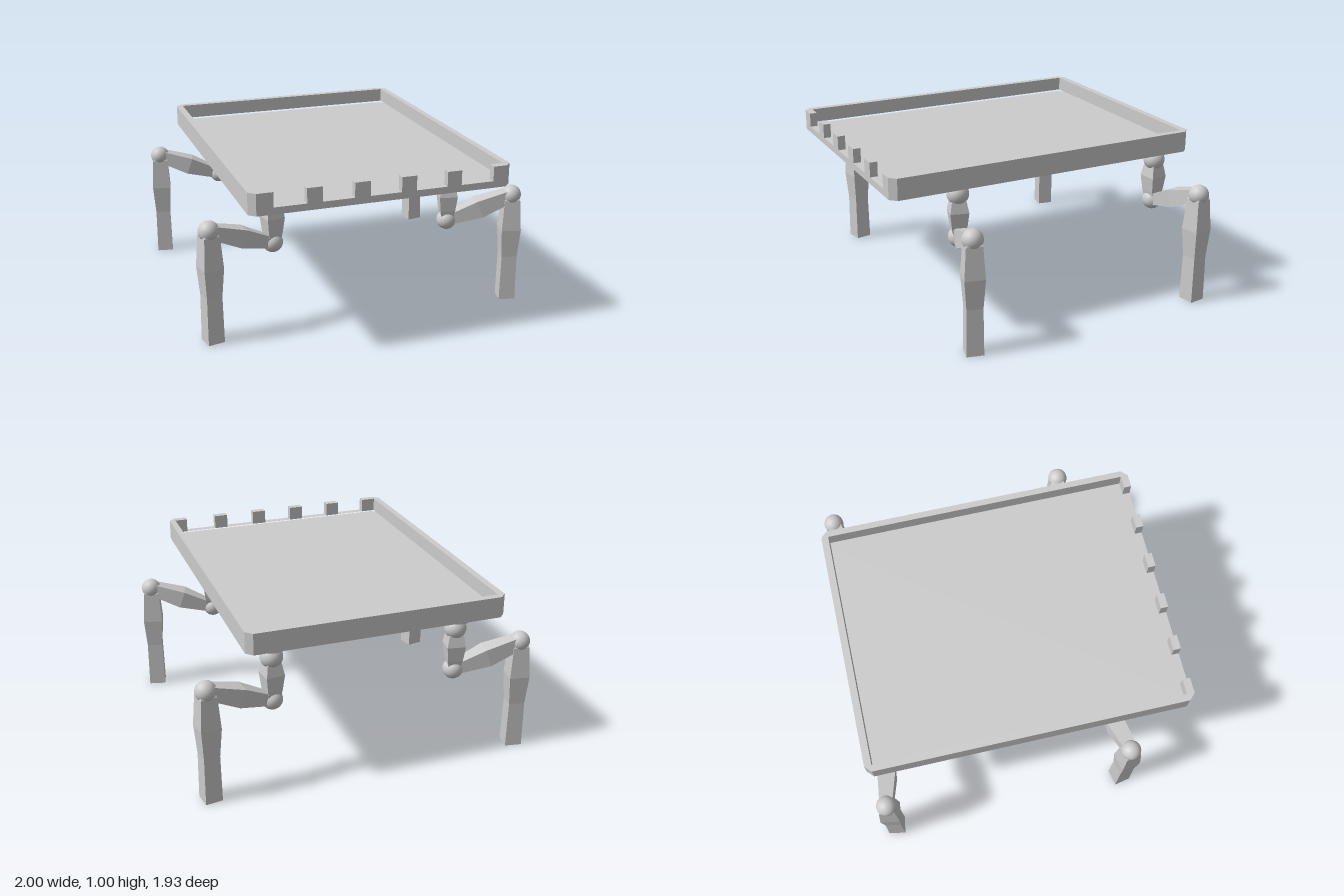
import * as THREE from 'three';

const flat = new THREE.MeshStandardMaterial({ color: 0xcccccc, flatShading: true });
const smooth = new THREE.MeshStandardMaterial({ color: 0xcccccc });

function add(parent, name, geometry, material = flat) {
  const mesh = new THREE.Mesh(geometry, material);
  mesh.name = name;
  parent.add(mesh);
  return mesh;
}

// Horizontal slab from [x, z] outline points between two heights
function slab(outline, y0, y1, hole) {
  const toPoints = (list) => list.map(([x, z]) => new THREE.Vector2(x, -z));
  const shape = new THREE.Shape(toPoints(outline));
  if (hole) shape.holes.push(new THREE.Path(toPoints(hole)));
  return new THREE.ExtrudeGeometry(shape, { depth: y1 - y0, bevelEnabled: false })
    .rotateX(-Math.PI / 2)
    .translate(0, y0, 0);
}

// Square beam between two points; stations are [fraction along, width]
function beam(parent, name, from, to, stations, azimuth) {
  const length = from.distanceTo(to);
  const profile = stations.map(([t, w]) => new THREE.Vector2(w / Math.SQRT2, t * length));
  profile.unshift(new THREE.Vector2(0, 0));
  profile.push(new THREE.Vector2(0, length));
  const geometry = new THREE.LatheGeometry(profile, 4, Math.PI / 4);
  const y = to.clone().sub(from).normalize();
  const out = new THREE.Vector3(Math.cos(azimuth), 0, Math.sin(azimuth));
  const z = new THREE.Vector3().crossVectors(out, new THREE.Vector3(0, 1, 0));
  z.addScaledVector(y, -z.dot(y)).normalize();
  const x = new THREE.Vector3().crossVectors(y, z);
  geometry.applyMatrix4(new THREE.Matrix4().makeBasis(x, y, z).setPosition(from));
  return add(parent, name, geometry);
}

function ball(parent, name, center, radius) {
  add(parent, name, new THREE.SphereGeometry(radius, 24, 16), smooth).position.copy(center);
}

function createTray() {
  const tray = new THREE.Group();
  tray.name = 'tray';
  const [x0, x1, z0, z1, c] = [-0.8, 0.715, -0.962, 0.957, 0.037];
  const [ix0, ix1, iz0, iz1] = [-0.76, 0.677, -0.92, 0.912];
  const outline = [
    [x0 + c, z0], [x1 - c, z0], [x1, z0 + c], [x1, z1 - c],
    [x1 - c, z1], [x0 + c, z1], [x0, z1 - c], [x0, z0 + c],
  ];
  const inner = [[ix0, iz0], [ix1, iz0], [ix1, iz1], [ix0, iz1]];
  const [floorY, notchY, topY] = [0.893, 0.915, 1.0];
  const notches = [[-0.67, -0.487], [-0.4, -0.22], [-0.13, 0.05], [0.137, 0.32], [0.405, 0.6]];

  add(tray, 'trayFloor', slab(outline, 0.876, floorY));
  add(tray, 'lowerRim', slab(outline, floorY, notchY, inner));

  // Upper rim is open along the front, ending beside the outer notches
  const [openL, openR] = [notches[0][0], notches[4][1]];
  add(tray, 'upperRim', slab([
    ...outline.slice(0, 5), [openR, z1], [openR, iz1], [ix1, iz1], [ix1, iz0],
    [ix0, iz0], [ix0, iz1], [openL, iz1], [openL, z1], ...outline.slice(5),
  ], notchY, topY));

  // Teeth between the front notches
  for (let i = 0; i < notches.length - 1; i++) {
    const [a, b] = [notches[i][1], notches[i + 1][0]];
    add(tray, 'frontTooth', slab([[a, iz1], [b, iz1], [b, z1], [a, z1]], notchY, topY));
  }
  return tray;
}

function createLeg(name, hipX, hipZ, ankleX, ankleZ) {
  const leg = new THREE.Group();
  leg.name = name;
  const azimuth = Math.atan2(ankleZ - hipZ, ankleX - hipX);
  const hip = new THREE.Vector3(hipX, 0.79, hipZ);
  const knee = new THREE.Vector3(hipX, 0.53, hipZ);
  const ankle = new THREE.Vector3(ankleX, 0.675, ankleZ);
  const foot = new THREE.Vector3(ankleX, 0, ankleZ);

  // Mount under the tray
  add(leg, 'mountDisc', new THREE.CylinderGeometry(0.082, 0.082, 0.032, 32), smooth)
    .position.set(hipX, 0.861, hipZ);

  ball(leg, 'hipBall', hip, 0.064);
  ball(leg, 'kneeBall', knee, 0.06);
  ball(leg, 'outerBall', ankle, 0.06);

  beam(leg, 'upperLink', knee, hip, [[0, 0.065], [0.25, 0.088], [0.6, 0.108], [1, 0.07]], azimuth);
  beam(leg, 'arm', knee, ankle, [[0, 0.06], [0.5, 0.108], [1, 0.075]], azimuth);
  beam(leg, 'lowerLeg', foot, ankle,
    [[0, 0.1], [0.42, 0.094], [0.68, 0.118], [0.96, 0.094], [1, 0.07]], azimuth);
  return leg;
}

export function createModel() {
  const model = new THREE.Group();
  model.name = 'leggedTray';
  model.add(
    createTray(),
    createLeg('frontLeftLeg', 0.545, 0.495, 0.927, 0.588),
    createLeg('frontRightLeg', -0.55, 0.495, -0.937, 0.573),
    createLeg('backLeftLeg', 0.545, -0.835, 0.927, -0.892),
    createLeg('backRightLeg', -0.55, -0.835, -0.937, -0.903),
  );
  return model;
}
